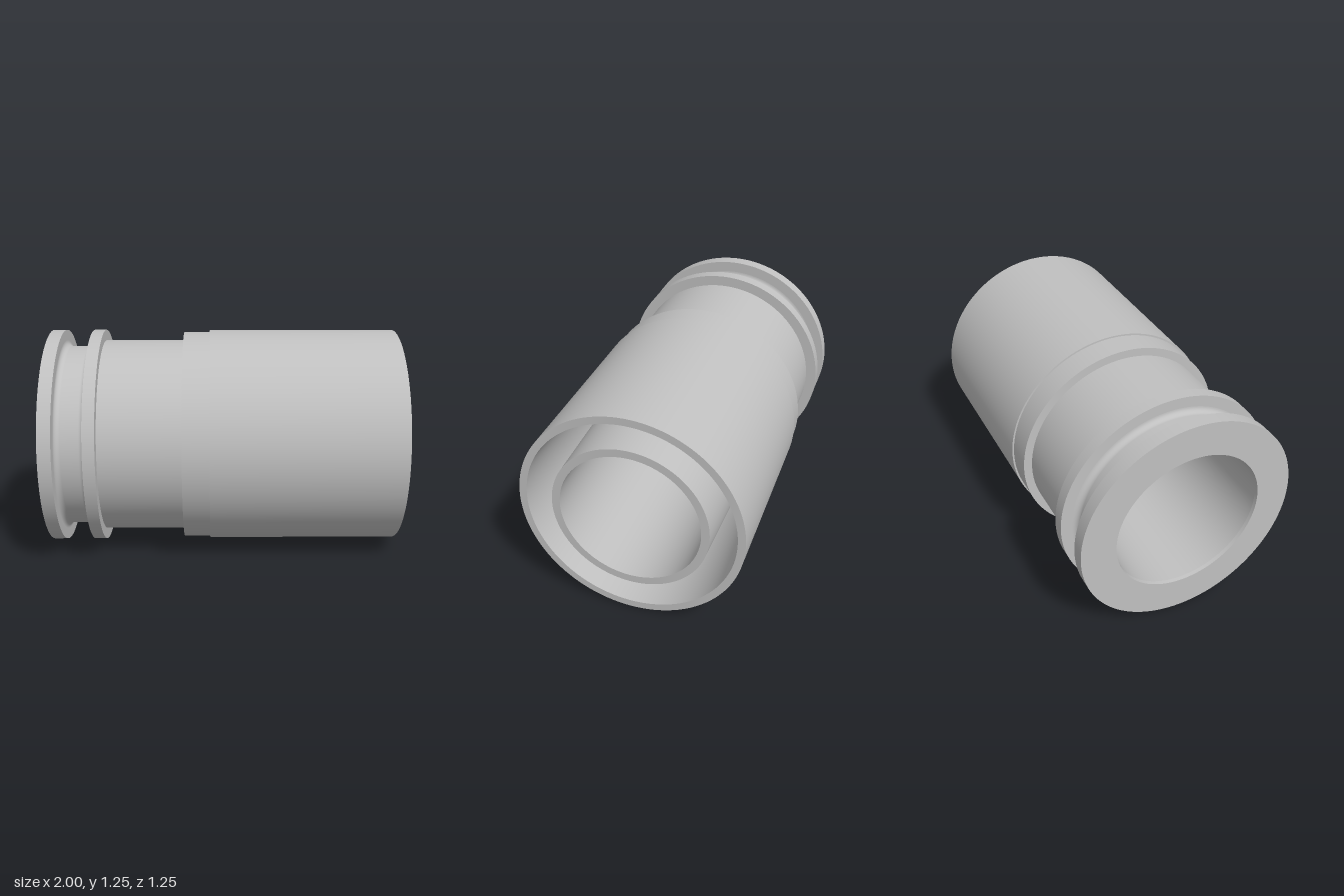
import * as THREE from 'three';

const AXIS_Y = 0.624;
const SEGMENTS = 128;

export function createModel() {
  const model = new THREE.Group();
  model.name = 'flangedSleeve';
  const grey = new THREE.MeshStandardMaterial({ color: 0xc0c0c0 });
  grey.name = 'plain grey';

  // Each run of [x, radius] points is one smooth surface; edges between runs stay sharp.
  function addPart(name, ...runs) {
    const part = new THREE.Group();
    part.name = name;
    runs.forEach((run, i) => {
      const points = run.map(([x, r]) => new THREE.Vector2(r, x));
      const mesh = new THREE.Mesh(new THREE.LatheGeometry(points, SEGMENTS), grey);
      mesh.name = `${name}Surface${i + 1}`;
      mesh.rotation.z = -Math.PI / 2;
      part.add(mesh);
    });
    model.add(part);
  }

  // Splits a sharp-cornered profile into single runs.
  const sharp = (...pts) => pts.slice(1).map((p, i) => [pts[i], p]);

  // Groove with filleted bottom corners
  const x0 = -0.925, x1 = -0.76, floor = 0.529, f = 0.032;
  const groove = [[x0, 0.624]];
  for (let i = 0; i <= 8; i++) {
    const a = (i / 8) * Math.PI / 2;
    groove.push([x0 + f * (1 - Math.cos(a)), floor + f * (1 - Math.sin(a))]);
  }
  const wallCount = groove.length;
  for (let i = wallCount - 1; i >= 0; i--) groove.push([x0 + x1 - groove[i][0], groove[i][1]]);

  // Outside, from the flanged end to the open end
  addPart('endFlange', ...sharp([-1, 0.425], [-1, 0.624], [x0, 0.624]));
  addPart('groove', groove.slice(0, 2), groove.slice(1, -1), groove.slice(-2));
  addPart('innerFlange', ...sharp([x1, 0.624], [-0.692, 0.624], [-0.692, 0.562]));
  addPart('neck', [[-0.692, 0.562], [-0.23, 0.562]]);
  addPart('collar', ...sharp([-0.23, 0.562], [-0.23, 0.61], [-0.08, 0.61]));
  addPart('sleeve', ...sharp([-0.08, 0.61], [-0.08, 0.62], [1, 0.62], [1, 0.578]));

  // Tapered ring-shaped cavity between sleeve and inner tube
  addPart('cavity', ...sharp([1, 0.578], [-0.55, 0.527], [-0.55, 0.468]));
  addPart('innerTube', ...sharp([-0.55, 0.468], [1, 0.433], [1, 0.388]));

  // Tapered bore with a short straight lip
  addPart('bore', ...sharp([1, 0.388], [-0.98, 0.422], [-1, 0.425]));

  model.position.y = AXIS_Y;
  const root = new THREE.Group();
  root.name = 'pipeFitting';
  root.add(model);
  return root;
}
